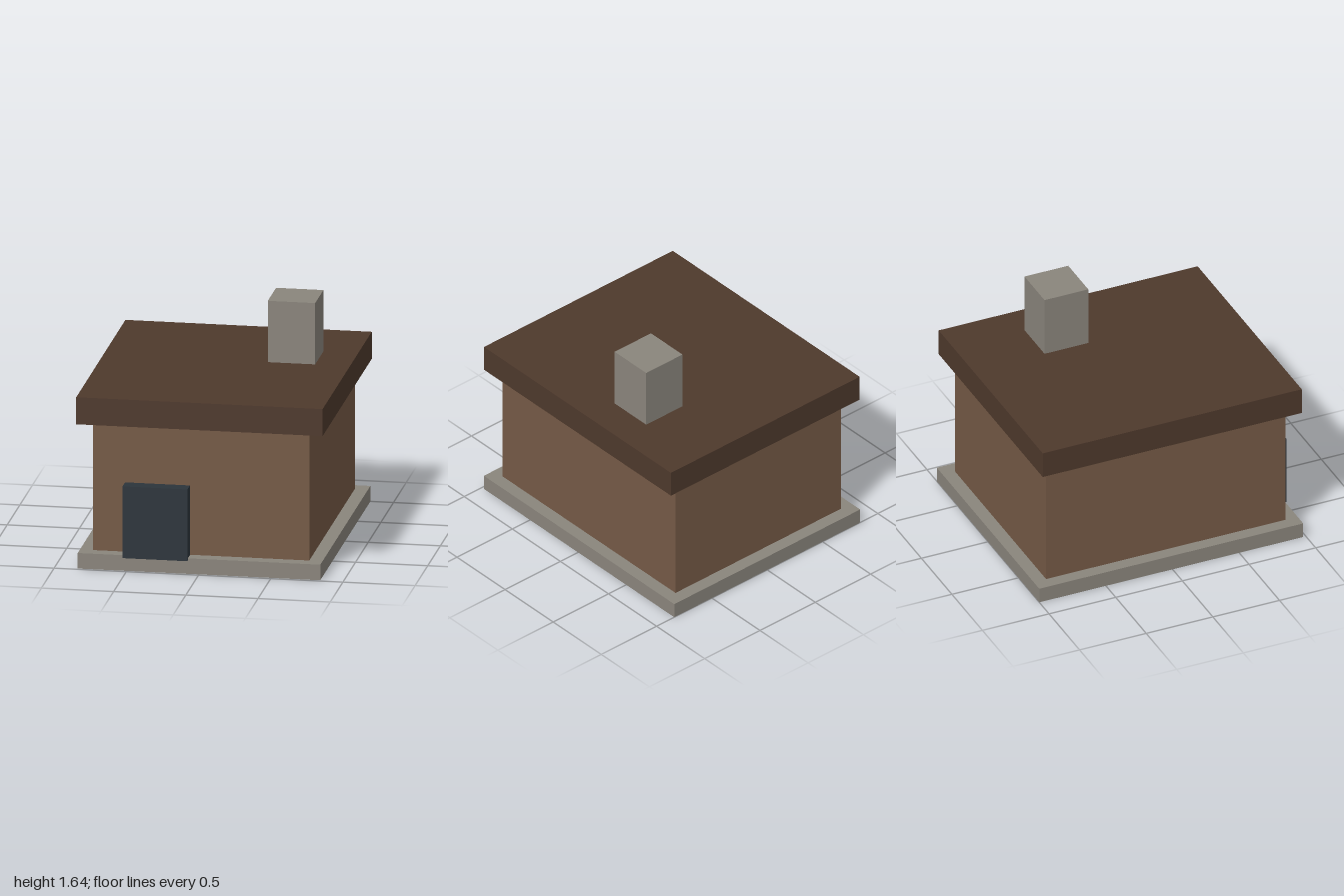
import * as THREE from 'three';

export function createModel() {
  const house = new THREE.Group();
  house.name = 'house';

  const paint = (name, color) => {
    const m = new THREE.MeshStandardMaterial({ color });
    m.name = name;
    return m;
  };
  const stone = paint('stone grey', 0x8a857c);
  const wood = paint('wall brown', 0x755a46);
  const darkWood = paint('roof brown', 0x4e392c);
  const slate = paint('door slate', 0x2c343b);

  // Box given by its min and max on each axis
  const block = (name, material, [x0, x1], [y0, y1], [z0, z1]) => {
    const mesh = new THREE.Mesh(new THREE.BoxGeometry(x1 - x0, y1 - y0, z1 - z0), material);
    mesh.position.set((x0 + x1) / 2, (y0 + y1) / 2, (z0 + z1) / 2);
    mesh.name = name;
    house.add(mesh);
  };

  block('foundation', stone, [-0.84, 0.84], [0, 0.11], [-1, 0.98]);
  block('walls', wood, [-0.748, 0.748], [0.11, 1.018], [-0.907, 0.89]);
  block('roof', darkWood, [-0.853, 0.853], [1.018, 1.21], [-0.98, 0.963]);
  block('door', slate, [-0.526, -0.077], [0.095, 0.604], [0.898, 1]);
  block('chimney', stone, [0.284, 0.612], [1.21, 1.645], [-0.446, -0.118]);

  return house;
}
